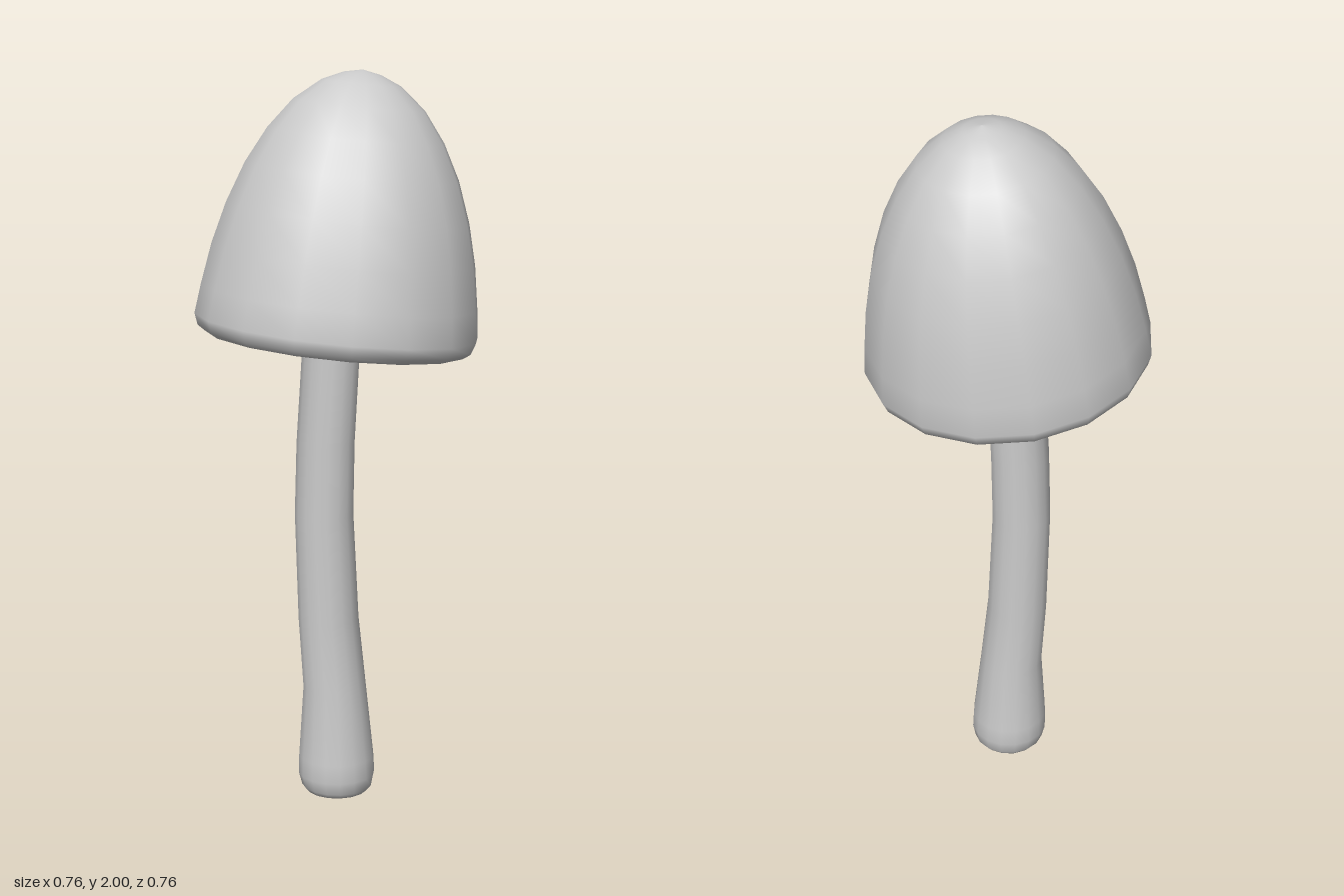
import * as THREE from 'three';

const material = new THREE.MeshStandardMaterial({ color: 0xcccccc });

// Stem rings: [y, radius, centre x, centre z]
const STEM = [
  [0.0, 0.0, -0.015, -0.02],
  [0.0, 0.085, -0.015, -0.02],
  [0.015, 0.098, -0.015, -0.02],
  [0.05, 0.106, -0.015, -0.018],
  [0.1, 0.104, -0.017, -0.019],
  [0.3, 0.087, -0.025, -0.022],
  [0.5, 0.083, -0.037, -0.01],
  [0.8, 0.08, -0.04, 0.005],
  [1.0, 0.079, -0.036, 0.003],
  [1.25, 0.078, -0.028, -0.01],
  [1.5, 0.074, -0.014, -0.03],
  [1.76, 0.07, 0.005, -0.05],
];

// Cap profile: [radius, height], down the hollow, round the lip, up the dome
const CAP = [
  [0, 0.56], [0.1, 0.53], [0.18, 0.44], [0.24, 0.28], [0.275, 0.1],
  [0.295, 0.01], [0.318, -0.024], [0.35, -0.034], [0.37, -0.02],
  [0.381, 0.01], [0.371, 0.09], [0.353, 0.2], [0.325, 0.31],
  [0.285, 0.42], [0.235, 0.515], [0.175, 0.595], [0.105, 0.652],
  [0.05, 0.676], [0, 0.686],
];

function lathe(points, sides) {
  return new THREE.LatheGeometry(points.map(([r, y]) => new THREE.Vector2(r, y)), sides);
}

// Turned stem whose rings are shifted sideways to follow a gentle bend
function makeStem() {
  const geometry = lathe(STEM.map(([y, r]) => [r, y]), 16);
  const pos = geometry.attributes.position;
  for (let i = 0; i < pos.count; i++) {
    const [, , cx, cz] = STEM[i % STEM.length];
    pos.setX(i, pos.getX(i) + cx);
    pos.setZ(i, pos.getZ(i) + cz);
  }
  const stem = new THREE.Mesh(geometry, material);
  stem.name = 'stem';
  return stem;
}

// Hollow bell cap, leaning slightly back
function makeCap() {
  const cap = new THREE.Mesh(lathe(CAP, 16), material);
  cap.name = 'cap';
  cap.position.y = 1.315;
  const axis = new THREE.Vector3(0.04, 1, -0.11).normalize();
  cap.quaternion.setFromUnitVectors(new THREE.Vector3(0, 1, 0), axis);
  return cap;
}

export function createModel() {
  const mushroom = new THREE.Group();
  mushroom.name = 'mushroom';
  mushroom.add(makeStem(), makeCap());
  return mushroom;
}
